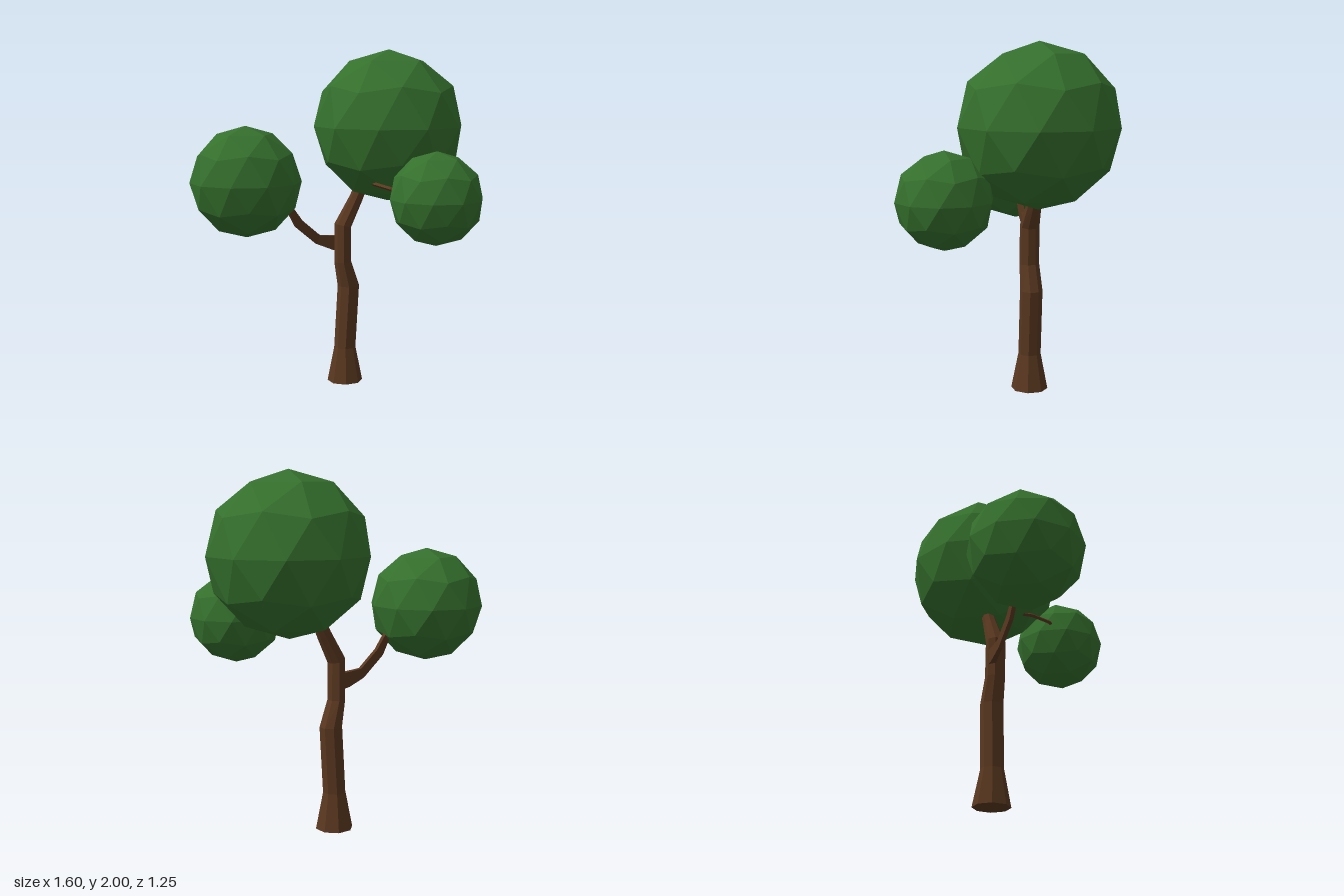
import * as THREE from 'three';

const bark = new THREE.MeshStandardMaterial({ color: 0x5a3820, flatShading: true });
const leaf = new THREE.MeshStandardMaterial({ color: 0x35702d, flatShading: true });

// Flat-sided limb swept through rings [x, y, z, tilt in degrees, half width, half depth].
// Tilt 0 points up, 90 points toward -x.
function limb(name, sides, rings) {
  const pos = [], index = [];
  const grow = 1 / Math.cos(Math.PI / sides);
  for (const [x, y, z, tilt, w, d] of rings) {
    const t = THREE.MathUtils.degToRad(tilt);
    for (let j = 0; j < sides; j++) {
      const a = ((j + 0.5) / sides) * Math.PI * 2;
      const u = Math.cos(a) * w * grow;
      pos.push(x + u * Math.cos(t), y + u * Math.sin(t), z - Math.sin(a) * d * grow);
    }
  }
  const last = rings.length - 1;
  const bottom = pos.length / 3, top = bottom + 1;
  pos.push(...rings[0].slice(0, 3), ...rings[last].slice(0, 3));
  for (let j = 0; j < sides; j++) {
    const k = (j + 1) % sides;
    for (let i = 0; i < last; i++) {
      const a = i * sides + j, b = i * sides + k;
      index.push(a, b, b + sides, a, b + sides, a + sides);
    }
    index.push(bottom, k, j, top, last * sides + j, last * sides + k);
  }
  let geo = new THREE.BufferGeometry();
  geo.setAttribute('position', new THREE.Float32BufferAttribute(pos, 3));
  geo.setIndex(index);
  geo = geo.toNonIndexed();
  geo.computeVertexNormals();
  const mesh = new THREE.Mesh(geo, bark);
  mesh.name = name;
  return mesh;
}

// Faceted ball of leaves with a corner pointing straight up
function foliage(name, radius, x, y, z) {
  const geo = new THREE.IcosahedronGeometry(radius, 1);
  geo.rotateZ(-Math.atan(2 / (1 + Math.sqrt(5))));
  const mesh = new THREE.Mesh(geo, leaf);
  mesh.position.set(x, y, z);
  mesh.name = name;
  return mesh;
}

export function createModel() {
  const tree = new THREE.Group();
  tree.name = 'tree';

  // Flared, bent trunk
  tree.add(limb('trunk', 8, [
    [0.10, 0, -0.21, 0, 0.098, 0.098],
    [0.10, 0.21, -0.21, 0, 0.06, 0.06],
    [0.124, 0.59, -0.21, 0, 0.06, 0.06],
    [0.086, 0.74, -0.21, 0, 0.046, 0.053],
    [0.086, 0.96, -0.21, -14, 0.046, 0.053],
    [0.17, 1.11, -0.21, -30, 0.038, 0.038],
    [0.24, 1.25, -0.21, -30, 0.032, 0.032],
  ]));

  // Side branch rising to the right-hand foliage
  tree.add(limb('sideBranch', 4, [
    [0.07, 0.85, -0.243, 90, 0.045, 0.018],
    [0.03, 0.855, -0.245, 88, 0.042, 0.016],
    [-0.06, 0.88, -0.25, 70, 0.028, 0.012],
    [-0.185, 0.985, -0.25, 40, 0.027, 0.012],
    [-0.235, 1.065, -0.25, 32, 0.02, 0.012],
    [-0.28, 1.14, -0.25, 32, 0.018, 0.01],
  ]));

  // Thin twig reaching forward to the small foliage
  const path = new THREE.CatmullRomCurve3([
    new THREE.Vector3(0.21, 1.22, -0.2),
    new THREE.Vector3(0.17, 1.23, 0.02),
    new THREE.Vector3(0.18, 1.22, 0.18),
    new THREE.Vector3(0.28, 1.19, 0.28),
  ]);
  const twig = new THREE.Mesh(new THREE.TubeGeometry(path, 4, 0.012, 4), bark);
  twig.name = 'frontTwig';
  tree.add(twig);

  tree.add(foliage('mainFoliage', 0.45, 0.37, 1.55, -0.165));
  tree.add(foliage('sideFoliage', 0.323, -0.49, 1.242, -0.304));
  tree.add(foliage('frontFoliage', 0.266, 0.385, 1.17, 0.36));
  return tree;
}
